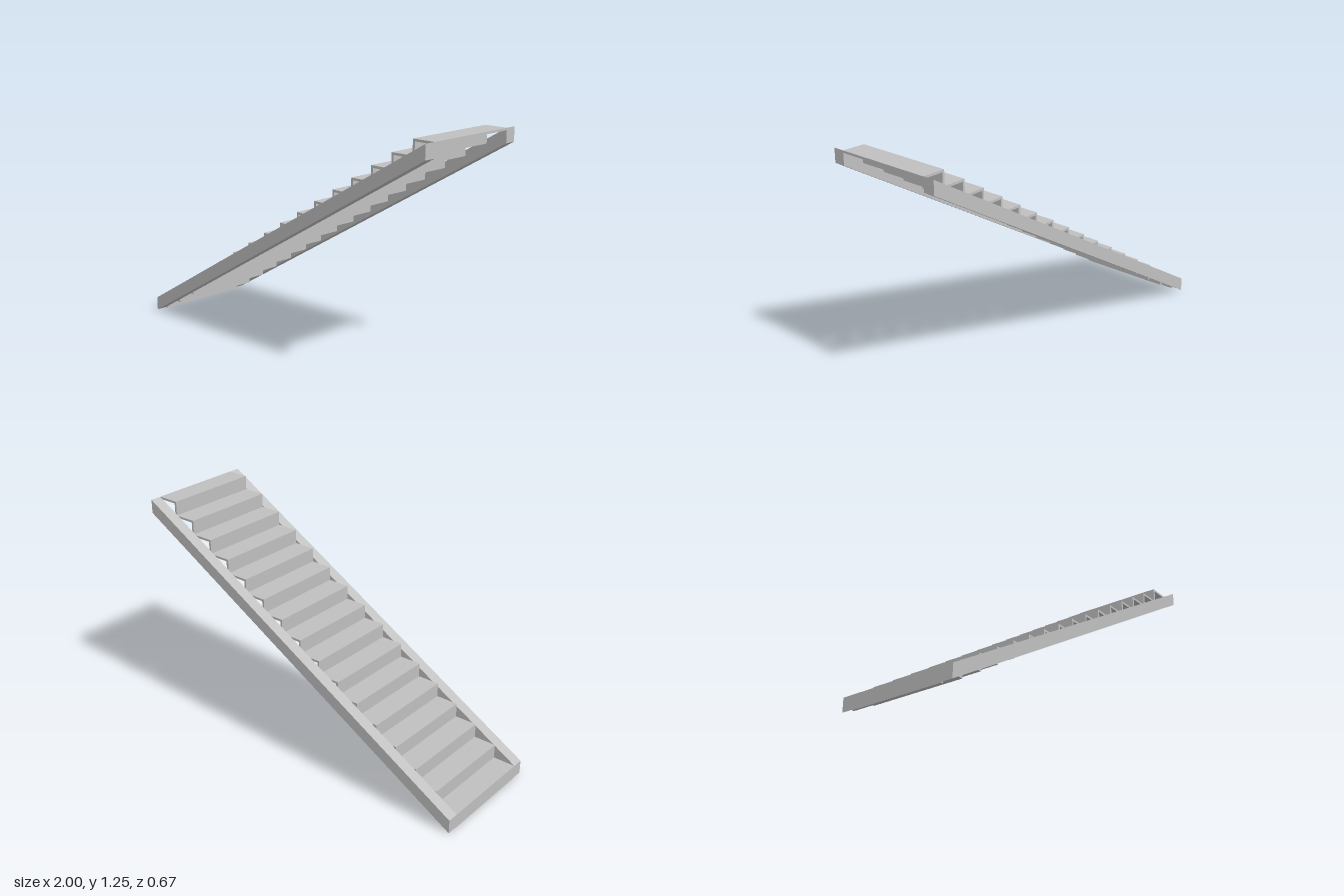
import * as THREE from 'three';

const STEPS = 16, RUN = 2 / STEPS, RISE = 1.25 / STEPS;
const BOARD = 0.012;                 // tread and riser thickness
const INNER = 0.27, OUTER = 0.333;   // half widths inside and outside the stringers

// Extrudes an x/y outline between two z positions
function slab(name, points, z0, z1, material) {
  const shape = new THREE.Shape(points.map(([x, y]) => new THREE.Vector2(x, y)));
  const geometry = new THREE.ExtrudeGeometry(shape, { depth: z1 - z0, bevelEnabled: false });
  geometry.translate(0, 0, z0);
  const mesh = new THREE.Mesh(geometry, material);
  mesh.name = name;
  return mesh;
}

export function createModel() {
  const group = new THREE.Group();
  group.name = 'staircase';
  const grey = new THREE.MeshStandardMaterial({ color: 0xc0c0c0 });
  grey.name = 'light grey';

  // Folded flight of risers and treads: upper outline going up, lower outline coming back
  const upper = [], lower = [];
  for (let i = 0; i < STEPS; i++) {
    const x = -1 + i * RUN, y = i * RISE, top = y + RISE;
    upper.push([x, y], [x, top]);
    lower.push([x + BOARD, i ? y - BOARD : 0], [x + BOARD, top - BOARD]);
    // Riser foot runs down to the underside of the tread below
    if (i) lower.splice(lower.length - 2, 1, [x + BOARD, y - BOARD]);
  }
  upper.push([1, STEPS * RISE]);
  lower.push([1, STEPS * RISE - BOARD]);
  group.add(slab('treadsAndRisers', [...upper, ...lower.reverse()], -INNER, INNER, grey));

  // Sloping side stringers with plumb-cut ends
  const side = [[-1, 0.003], [1, 1.175], [1, 1.25], [-1, 0.078]];
  group.add(slab('frontStringer', side, INNER, OUTER, grey));
  group.add(slab('backStringer', side, -OUTER, -INNER, grey));

  return group;
}
